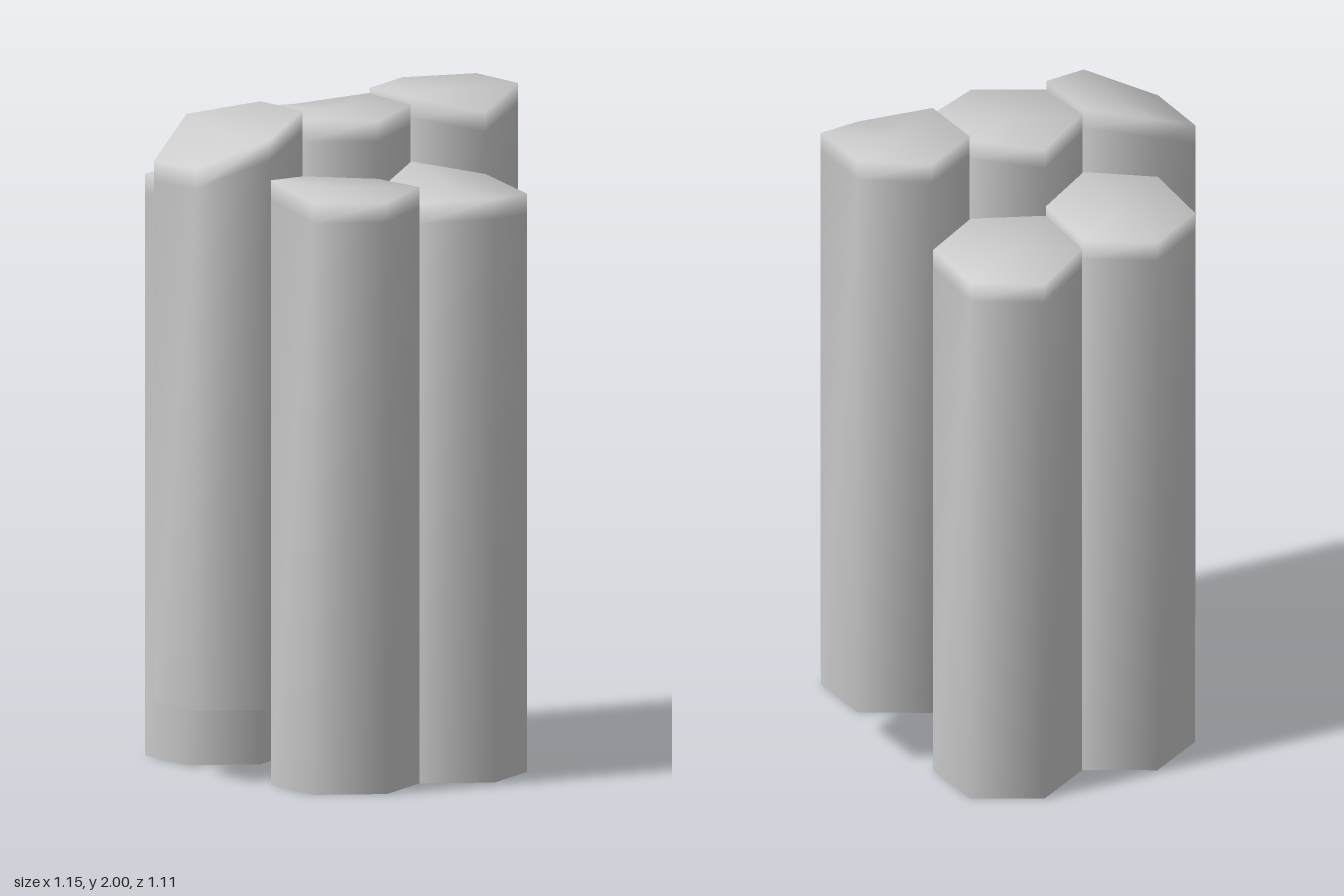
import * as THREE from 'three';

const RADIUS = 0.22;
const SIDES = 6;
const BEVEL = 0.06; // height of the soft band under each rim

// Rim heights run round the column: front, right-front, right-back, back, left-back, left-front
const COLUMNS = [
  { name: 'centerColumn', x: 0, z: 0, base: 0.225, rim: [1.95, 1.97, 1.975, 1.945, 1.97, 1.955] },
  { name: 'leftEndColumn', x: 0.384, z: 0, base: 0.225, rim: [1.945, 2.0, 2.0, 1.99, 1.99, 1.99] },
  { name: 'rightEndColumn', x: -0.384, z: 0, base: 0.225, rim: [1.93, 1.985, 1.985, 1.95, 1.84, 1.845] },
  { name: 'frontLeftColumn', x: 0.192, z: 0.333, base: 0, rim: [1.745, 1.73, 1.76, 1.8, 1.745, 1.735] },
  { name: 'frontRightColumn', x: -0.192, z: 0.333, base: 0, rim: [1.77, 1.785, 1.78, 1.79, 1.81, 1.77] },
  { name: 'backLeftColumn', x: 0.192, z: -0.333, base: 0, rim: [1.72, 1.71, 1.695, 1.69, 1.715, 1.73] },
  { name: 'backRightColumn', x: -0.192, z: -0.333, base: 0, rim: [1.78, 1.76, 1.74, 1.735, 1.74, 1.765] },
];

// Open-bottomed hexagonal prism with an uneven, softly shaded cap
function columnGeometry(base, rim) {
  const positions = [];
  const index = [];
  const rings = [() => base, (i) => rim[i] - BEVEL, (i) => rim[i]];

  for (const height of rings) {
    for (let i = 0; i < SIDES; i++) {
      const a = (i / SIDES) * Math.PI * 2;
      positions.push(Math.sin(a) * RADIUS, height(i), Math.cos(a) * RADIUS);
    }
  }
  // Cap centre sits at the mean rim height
  const center = rings.length * SIDES;
  positions.push(0, rim.reduce((sum, h) => sum + h, 0) / SIDES, 0);

  for (let i = 0; i < SIDES; i++) {
    const j = (i + 1) % SIDES;
    for (let r = 0; r < rings.length - 1; r++) {
      const low = r * SIDES;
      const high = low + SIDES;
      index.push(low + i, low + j, high + j, low + i, high + j, high + i);
    }
    const top = (rings.length - 1) * SIDES;
    index.push(center, top + i, top + j);
  }

  const geometry = new THREE.BufferGeometry();
  geometry.setAttribute('position', new THREE.Float32BufferAttribute(positions, 3));
  geometry.setIndex(index);
  geometry.computeVertexNormals();
  return geometry;
}

export function createModel() {
  const group = new THREE.Group();
  group.name = 'hexagonalColumns';
  const material = new THREE.MeshStandardMaterial({ color: 0xcccccc, side: THREE.DoubleSide });

  for (const { name, x, z, base, rim } of COLUMNS) {
    const column = new THREE.Mesh(columnGeometry(base, rim), material);
    column.name = name;
    column.position.set(x, 0, z);
    group.add(column);
  }
  return group;
}
